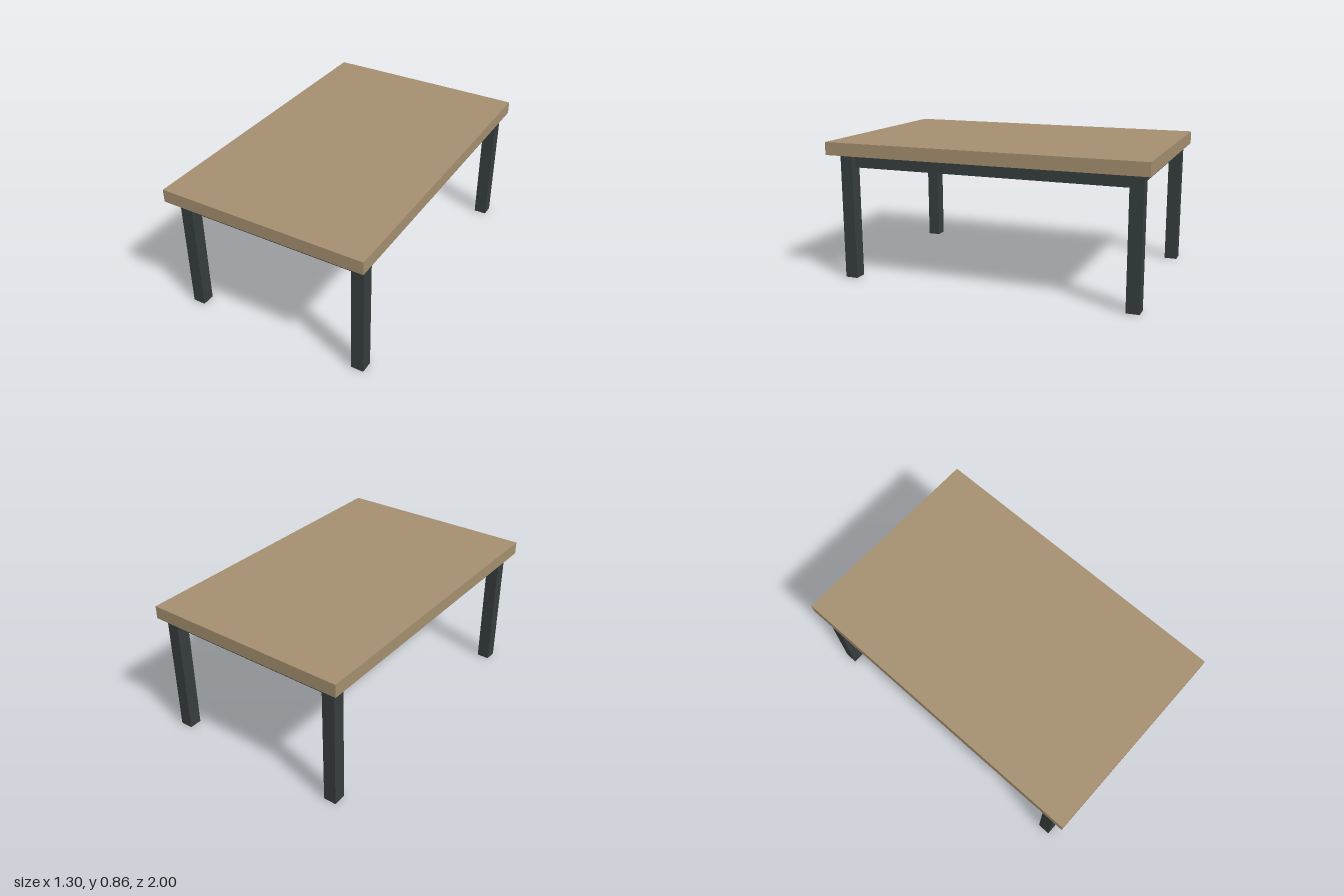
import * as THREE from 'three';

export function createModel() {
  const wood = new THREE.MeshStandardMaterial({ name: 'wood', color: 0xa48e6f });
  const metal = new THREE.MeshStandardMaterial({ name: 'darkMetal', color: 0x363d3c });
  const table = new THREE.Group();
  table.name = 'table';

  // Adds a box whose base rests at height y
  function addBox(name, material, [w, h, d], [x, y, z]) {
    const mesh = new THREE.Mesh(new THREE.BoxGeometry(w, h, d), material);
    mesh.name = name;
    mesh.position.set(x, y + h / 2, z);
    table.add(mesh);
  }

  // Wooden top and the solid frame slab beneath it
  addBox('tableTop', wood, [1.3, 0.08, 2], [0, 0.78, 0]);
  addBox('frame', metal, [1.14, 0.08, 1.84], [0, 0.7, 0]);

  // Square legs, with both pairs set slightly towards the back
  for (const [side, x] of [['Left', 0.57], ['Right', -0.57]]) {
    for (const [end, z] of [['front', 0.88], ['back', -0.92]]) {
      addBox(`${end}${side}Leg`, metal, [0.08, 0.78, 0.08], [x, 0, z]);
    }
  }
  return table;
}
